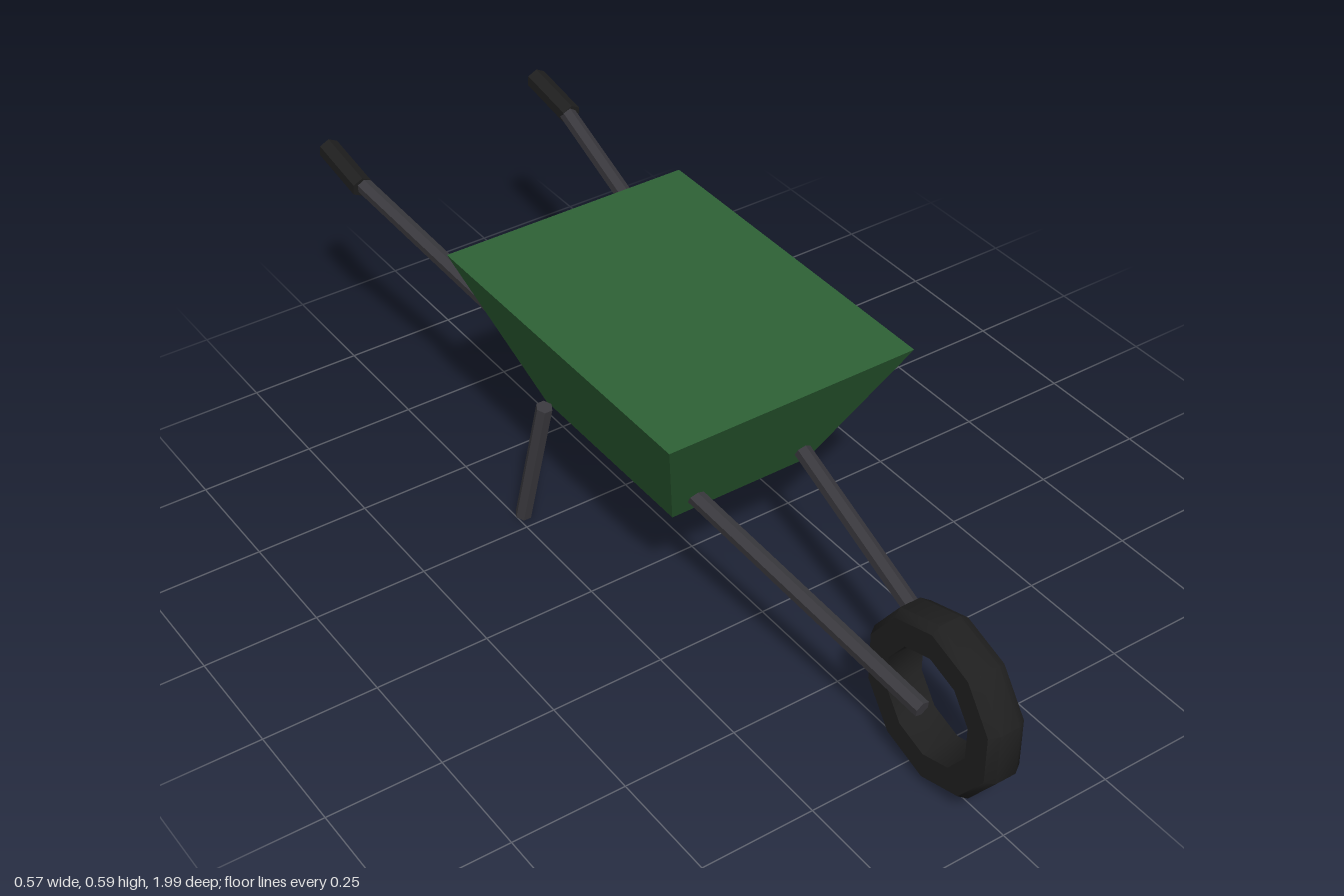
import * as THREE from 'three';
import { toCreasedNormals } from 'three/addons/utils/BufferGeometryUtils.js';

const mat = (name, color) => {
  const m = new THREE.MeshStandardMaterial({ color });
  m.name = name;
  return m;
};

export function createModel() {
  const green = mat('green paint', 0x2e6236);
  const metal = mat('dark grey metal', 0x3a393e);
  const rubber = mat('black rubber', 0x1f1f1f);
  const group = new THREE.Group();

  const add = (name, geometry, material) => {
    const mesh = new THREE.Mesh(geometry, material);
    mesh.name = name;
    group.add(mesh);
    return mesh;
  };

  // Six-sided bar running between two points
  const bar = (name, from, to, radius, material) => {
    const a = new THREE.Vector3(...from), b = new THREE.Vector3(...to);
    const dir = b.clone().sub(a);
    const geo = new THREE.CylinderGeometry(radius, radius, dir.length(), 6);
    const mesh = add(name, toCreasedNormals(geo, 0.5), material);
    mesh.position.copy(a).add(b).multiplyScalar(0.5);
    mesh.quaternion.setFromUnitVectors(new THREE.Vector3(0, 1, 0), dir.normalize());
  };

  // Tub: a box narrowed toward the bottom
  const tub = new THREE.BoxGeometry(1, 1, 1);
  const p = tub.attributes.position;
  for (let i = 0; i < p.count; i++) {
    const top = p.getY(i) > 0;
    p.setXYZ(i,
      Math.sign(p.getX(i)) * (top ? 0.284 : 0.165),
      top ? 0.588 : 0.271,
      Math.sign(p.getZ(i)) * (top ? 0.396 : 0.23) - 0.06);
  }
  add('tub', toCreasedNormals(tub, 0.3), green);

  // Wheel: ten-sided ring with chamfered tread, open in the middle
  const profile = [
    [0.12, -0.042], [0.177, -0.042], [0.19, -0.023],
    [0.19, 0.023], [0.177, 0.042], [0.12, 0.042], [0.12, -0.042],
  ].map(([r, y]) => new THREE.Vector2(r, y));
  const ring = new THREE.LatheGeometry(profile, 10);
  ring.rotateY(Math.PI / 2); // corner toward the front
  ring.rotateZ(Math.PI / 2);
  const wheel = add('wheel', toCreasedNormals(ring, 0.65), rubber);
  wheel.position.set(0, 0.197, 0.81);

  // Poles, grips and legs on both sides
  for (const s of [1, -1]) {
    const side = s > 0 ? 'left' : 'right';
    bar(side + 'Pole', [s * 0.053, 0.2, 0.812], [s * 0.262, 0.545, -0.88], 0.018, metal);
    bar(side + 'Grip', [s * 0.264, 0.538, -0.85], [s * 0.264, 0.563, -0.995], 0.024, rubber);
    bar(side + 'Leg', [s * 0.215, 0.324, -0.215], [s * 0.236, 0.004, -0.286], 0.018, metal);
  }
  return group;
}
